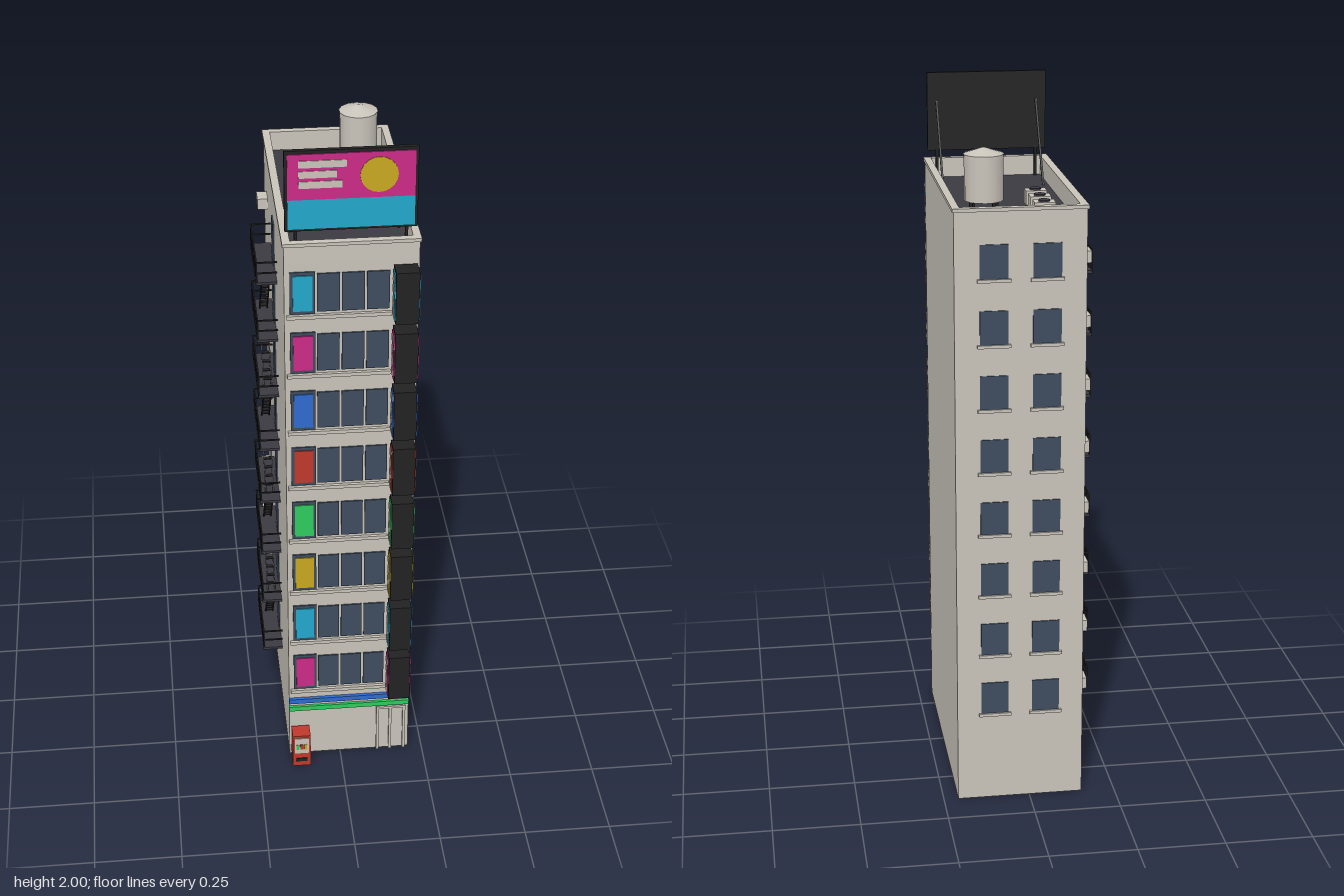
import * as THREE from 'three';

export function createModel() {
  const root = new THREE.Group();
  root.name = 'cityBuilding';
  const mat = (name, color) => {
    const m = new THREE.MeshStandardMaterial({ color });
    m.name = name;
    return m;
  };
  const wall = mat('concrete', 0xc9c4ba), glass = mat('glass', 0x3e4c5e), roofGrey = mat('roofGrey', 0x3c3a42);
  const black = mat('blackMetal', 0x222222), cyan = mat('cyan', 0x22a8cc), magenta = mat('magenta', 0xcc2a88);
  const blue = mat('blue', 0x2f6bd0), red = mat('red', 0xbf382b), green = mat('green', 0x2ecc5e), yellow = mat('yellow', 0xc9a820);

  const add = (parent, name, geo, m, x = 0, y = 0, z = 0) => {
    const mesh = new THREE.Mesh(geo, m);
    mesh.name = name;
    mesh.position.set(x, y, z);
    parent.add(mesh);
    return mesh;
  };
  // box given by its extents along each axis
  const box = (parent, name, m, x0, x1, y0, y1, z0, z1) =>
    add(parent, name, new THREE.BoxGeometry(x1 - x0, y1 - y0, z1 - z0), m, (x0 + x1) / 2, (y0 + y1) / 2, (z0 + z1) / 2);
  // thin square bar between two points
  const bar = (parent, name, m, a, b, t) => {
    const p = new THREE.Vector3(...a), q = new THREE.Vector3(...b);
    const mesh = add(parent, name, new THREE.BoxGeometry(t, t, p.distanceTo(q)), m);
    mesh.position.copy(p).add(q).multiplyScalar(0.5);
    mesh.lookAt(q);
    return mesh;
  };
  const group = (name) => {
    const g = new THREE.Group();
    g.name = name;
    root.add(g);
    return g;
  };
  // rectangular ring lying flat, with the roof opening cut out
  const ring = (parent, name, x0, x1, z0, z1, y, h) => {
    const rect = (P, a, b, c, d) => new P([[a, -d], [b, -d], [b, -c], [a, -c]].map((p) => new THREE.Vector2(...p)));
    const s = rect(THREE.Shape, x0, x1, z0, z1);
    s.holes.push(rect(THREE.Path, -0.136, 0.191, -0.373, 0.32));
    const g = new THREE.ExtrudeGeometry(s, { depth: h, bevelEnabled: false }).rotateX(-Math.PI / 2);
    return add(parent, name, g, wall, 0, y, 0);
  };

  const X0 = -0.154, X1 = 0.208, Z0 = -0.389, Z1 = 0.336, ROOF = 1.688, FLOORS = 8, STEP = 0.183;

  // main block, roof and parapet
  const shell = group('shell');
  box(shell, 'body', wall, X0, X1, 0, ROOF - 0.004, Z0, Z1);
  box(shell, 'roofDeck', roofGrey, -0.137, 0.192, ROOF - 0.004, ROOF, -0.374, 0.321);
  ring(shell, 'parapet', X0, X1, Z0, Z1, ROOF - 0.004, 0.054);
  ring(shell, 'parapetCap', -0.158, 0.212, -0.394, 0.341, 1.735, 0.01);

  // ground floor stripes and entrance
  const base = group('groundFloor');
  box(base, 'blueStripe', blue, X0, X1, 0.2, 0.216, Z1, 0.346);
  box(base, 'greenStripe', green, X0, X1, 0.17, 0.186, Z1, 0.344);
  [[0.11, 0.118], [0.148, 0.156], [0.19, 0.198]].forEach(([a, b]) => box(base, 'doorPost', wall, a, b, 0, 0.165, Z1, 0.344));
  box(base, 'doorHead', wall, 0.11, 0.198, 0.157, 0.165, Z1, 0.344);

  // floors: front windows, blade sign, rear windows, side door and cooler
  const colours = [magenta, cyan, yellow, green, red, blue, magenta, cyan];
  for (let i = 0; i < FLOORS; i++) {
    const y = 0.316 + i * STEP, c = colours[i];
    const front = group('frontFloor');
    box(front, 'panelFrame', glass, -0.139, -0.071, y - 0.063, y + 0.063, Z1, 0.34);
    box(front, 'colourPanel', c, -0.131, -0.078, y - 0.053, y + 0.053, Z1, 0.343);
    for (let k = 0; k < 3; k++) {
      const x = -0.066 + k * 0.067;
      box(front, 'window', glass, x, x + 0.061, y - 0.057, y + 0.057, Z1, 0.34);
    }
    box(front, 'ledge', wall, -0.148, 0.135, y - 0.077, y - 0.066, Z1, 0.345);

    const sign = group('bladeSign');
    box(sign, 'signCase', black, 0.138, 0.201, y - 0.077, y + 0.077, 0.346, 0.398);
    [-0.06, 0.05].forEach((d) => box(sign, 'bracket', black, 0.163, 0.175, y + d, y + d + 0.01, Z1, 0.346));
    [[0.201, 0.204, 0.206], [0.138, 0.135, 0.133]].forEach(([a, b, d]) => {
      box(sign, 'signFace', c, Math.min(a, b), Math.max(a, b), y - 0.069, y + 0.069, 0.353, 0.391);
      for (let k = 0; k < 4; k++) {
        const my = y - 0.051 + k * 0.034;
        box(sign, 'signMark', wall, Math.min(b, d), Math.max(b, d), my - 0.01, my + 0.01, 0.361, 0.383);
      }
    });

    const rear = group('rearFloor');
    [[-0.085, -0.007], [0.061, 0.139]].forEach(([a, b]) => {
      box(rear, 'rearWindow', glass, a, b, y - 0.047, y + 0.048, Z0 - 0.003, Z0);
      box(rear, 'rearSill', wall, a - 0.007, b + 0.007, y - 0.056, y - 0.047, Z0 - 0.008, Z0);
    });

    const side = group('sideFloor');
    const p = 0.218 + i * STEP;
    box(side, 'escapeDoor', glass, X0 - 0.004, X0, p, p + 0.135, -0.06, 0);
    box(side, 'wallCooler', wall, -0.184, X0, y - 0.035, y - 0.002, -0.293, -0.242);
  }

  // fire escape
  const RX = -0.211, EZ0 = -0.145, EZ1 = 0.092, T = 0.004, RAIL = 0.065;
  for (let i = 0; i < FLOORS; i++) {
    const y = 0.218 + i * STEP, esc = group('fireEscape');
    box(esc, 'landing', roofGrey, -0.213, X0, y - 0.004, y + 0.004, -0.147, 0.094);
    [RAIL, RAIL / 2].forEach((h) => {
      bar(esc, 'longRail', black, [RX, y + h, EZ0], [RX, y + h, EZ1], T);
      [EZ0, EZ1].forEach((z) => bar(esc, 'endRail', black, [RX, y + h, z], [X0, y + h, z], T));
    });
    for (let k = 0; k <= 7; k++) {
      const z = EZ0 + (EZ1 - EZ0) * k / 7;
      box(esc, 'railPost', black, RX - T / 2, RX + T / 2, y, y + RAIL, z - T / 2, z + T / 2);
    }
    if (i === FLOORS - 1) continue;
    // stair flights alternate in direction
    const s = i % 2 ? -1 : 1, za = -0.026 - 0.07 * s, zb = -0.026 + 0.07 * s;
    [-0.193, -0.171].forEach((x) => bar(esc, 'stringer', black, [x, y, za], [x, y + STEP, zb], T));
    for (let k = 1; k < 9; k++) {
      const z = za + (zb - za) * k / 9, ty = y + STEP * k / 9;
      box(esc, 'tread', black, -0.193, -0.171, ty - 0.0015, ty + 0.0015, z - 0.006, z + 0.006);
    }
  }

  // roof billboard
  const board = group('billboard');
  box(board, 'boardCase', black, -0.149, 0.202, 1.771, 2, 0.306, 0.319);
  box(board, 'upperPanel', magenta, -0.141, 0.194, 1.862, 1.991, 0.319, 0.322);
  box(board, 'lowerPanel', cyan, -0.141, 0.194, 1.778, 1.862, 0.319, 0.322);
  [[0.014, 1.963], [-0.012, 1.934], [0.003, 1.905]].forEach(([x, y]) => box(board, 'boardBar', wall, -0.112, x, y - 0.01, y + 0.01, 0.322, 0.324));
  add(board, 'boardDisc', new THREE.CylinderGeometry(0.05, 0.05, 0.002, 20).rotateX(Math.PI / 2), yellow, 0.099, 1.927, 0.323);
  [-0.12, 0.174].forEach((x) => {
    box(board, 'boardPost', black, x - 0.004, x + 0.004, ROOF, 1.78, 0.307, 0.315);
    bar(board, 'boardBrace', black, [x, 1.915, 0.306], [x, ROOF, 0.155], 0.006);
  });

  // water tank on legs
  const tank = group('waterTank');
  tank.position.set(0.107, 0, -0.239);
  add(tank, 'tankBody', new THREE.CylinderGeometry(0.054, 0.054, 0.127, 14), wall, 0, 1.7985, 0);
  add(tank, 'tankLid', new THREE.ConeGeometry(0.056, 0.018, 14), wall, 0, 1.871, 0);
  for (const x of [-0.032, 0.032]) for (const z of [-0.032, 0.032])
    box(tank, 'tankLeg', black, x - 0.004, x + 0.004, ROOF, 1.737, z - 0.004, z + 0.004);

  // roof coolers
  [-0.246, -0.167, -0.088].forEach((z) => {
    const unit = group('roofCooler');
    box(unit, 'coolerCase', wall, -0.088, -0.029, ROOF, 1.728, z - 0.021, z + 0.021);
    add(unit, 'coolerFan', new THREE.CylinderGeometry(0.016, 0.016, 0.005, 12), roofGrey, -0.058, 1.73, z);
  });

  // vending machine
  const vend = group('vendingMachine');
  box(vend, 'vendingCase', red, -0.149, -0.095, 0, 0.115, 0.347, 0.396);
  box(vend, 'vendingWindow', wall, -0.143, -0.101, 0.05, 0.107, 0.396, 0.398);
  [green, red, yellow].forEach((m, k) => {
    const x = -0.139 + k * 0.012;
    box(vend, 'vendingItem', m, x, x + 0.009, 0.066, 0.084, 0.398, 0.4);
  });
  box(vend, 'vendingSlot', black, -0.138, -0.106, 0.018, 0.03, 0.396, 0.398);

  return root;
}
